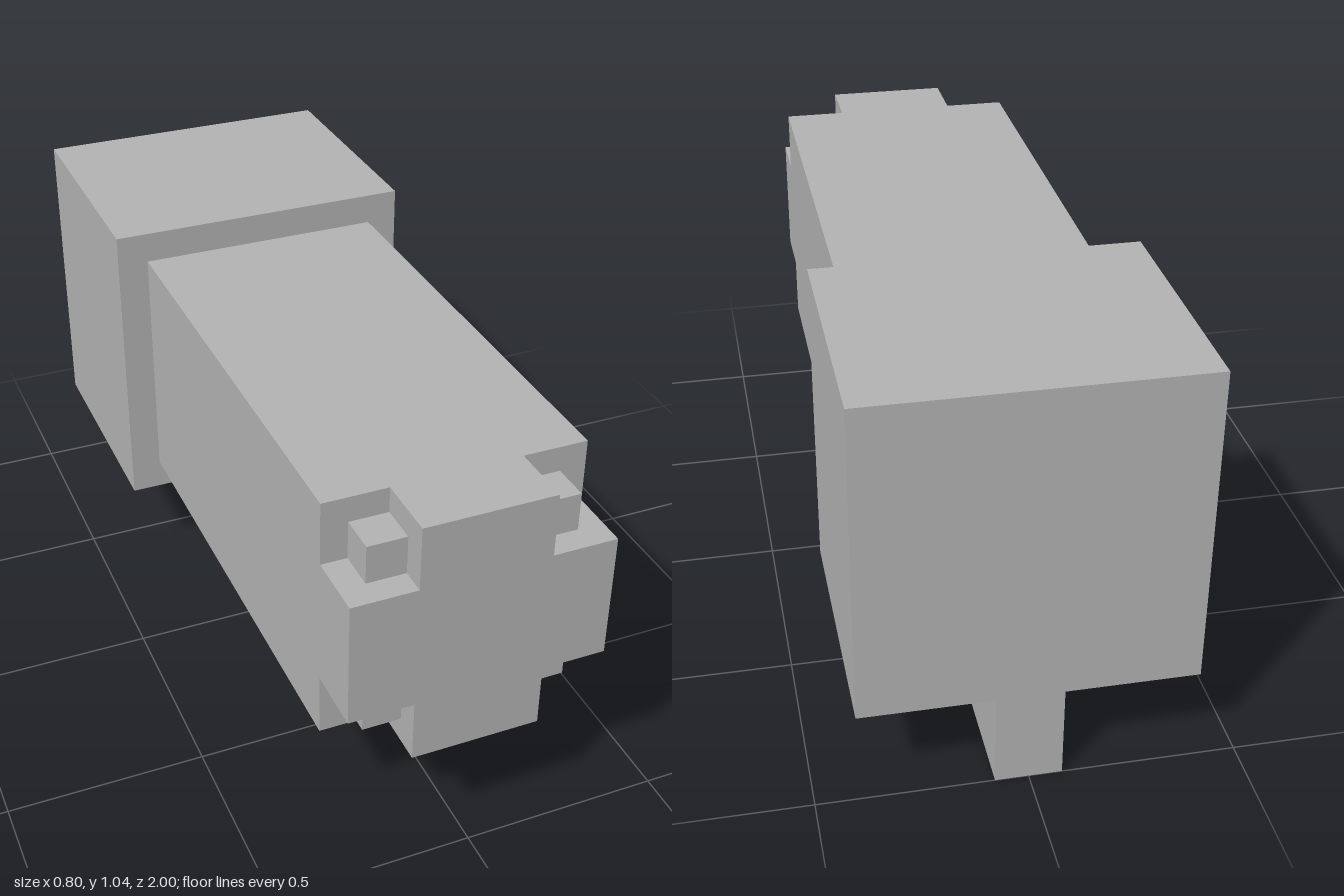
import * as THREE from 'three';

export function createModel() {
  const model = new THREE.Group();
  model.name = 'blockDevice';
  const grey = new THREE.MeshStandardMaterial({ color: 0xb2b2b2 });
  grey.name = 'plain grey';

  const add = (name, geometry) => {
    const mesh = new THREE.Mesh(geometry, grey);
    mesh.name = name;
    model.add(mesh);
  };
  // Box given by its minimum and maximum corners
  const box = (name, a, b) => add(name,
    new THREE.BoxGeometry(b[0] - a[0], b[1] - a[1], b[2] - a[2])
      .translate((a[0] + b[0]) / 2, (a[1] + b[1]) / 2, (a[2] + b[2]) / 2));
  const extrude = (points, depth) => new THREE.ExtrudeGeometry(
    new THREE.Shape(points.map(([x, y]) => new THREE.Vector2(x, y))),
    { depth, bevelEnabled: false });

  // Large rear housing and long barrel
  box('rearHousing', [-0.4, 0.24, -1], [0.4, 1.04, -0.36]);
  box('barrel', [-0.32, 0.32, -0.36], [0.32, 0.96, 0.84]);

  // Cross-shaped front, leaving a square notch at each corner
  const o = 0.32, i = 0.16;
  const cross = [[o, -i], [o, i], [i, i], [i, o], [-i, o], [-i, i],
    [-o, i], [-o, -i], [-i, -i], [-i, -o], [i, -o], [i, -i]];
  add('barrelFront', extrude(cross, 0.16).translate(0, 0.64, 0.84));

  // Small cube tucked into the inner corner of each notch
  const s = 0.096;
  for (const sx of [-1, 1]) {
    for (const sy of [-1, 1]) {
      add('cornerCube', new THREE.BoxGeometry(s, s, s)
        .translate(sx * (i + s / 2), 0.64 + sy * (i + s / 2), 0.84 + s / 2));
    }
  }

  // L-shaped foot under the housing, drawn in z and y
  const foot = [[-1, 0], [-0.36, 0], [-0.36, 0.16], [-0.68, 0.16], [-0.68, 0.24], [-1, 0.24]];
  add('foot', extrude(foot, 0.16).rotateY(-Math.PI / 2).translate(0.08, 0, 0));

  return model;
}
